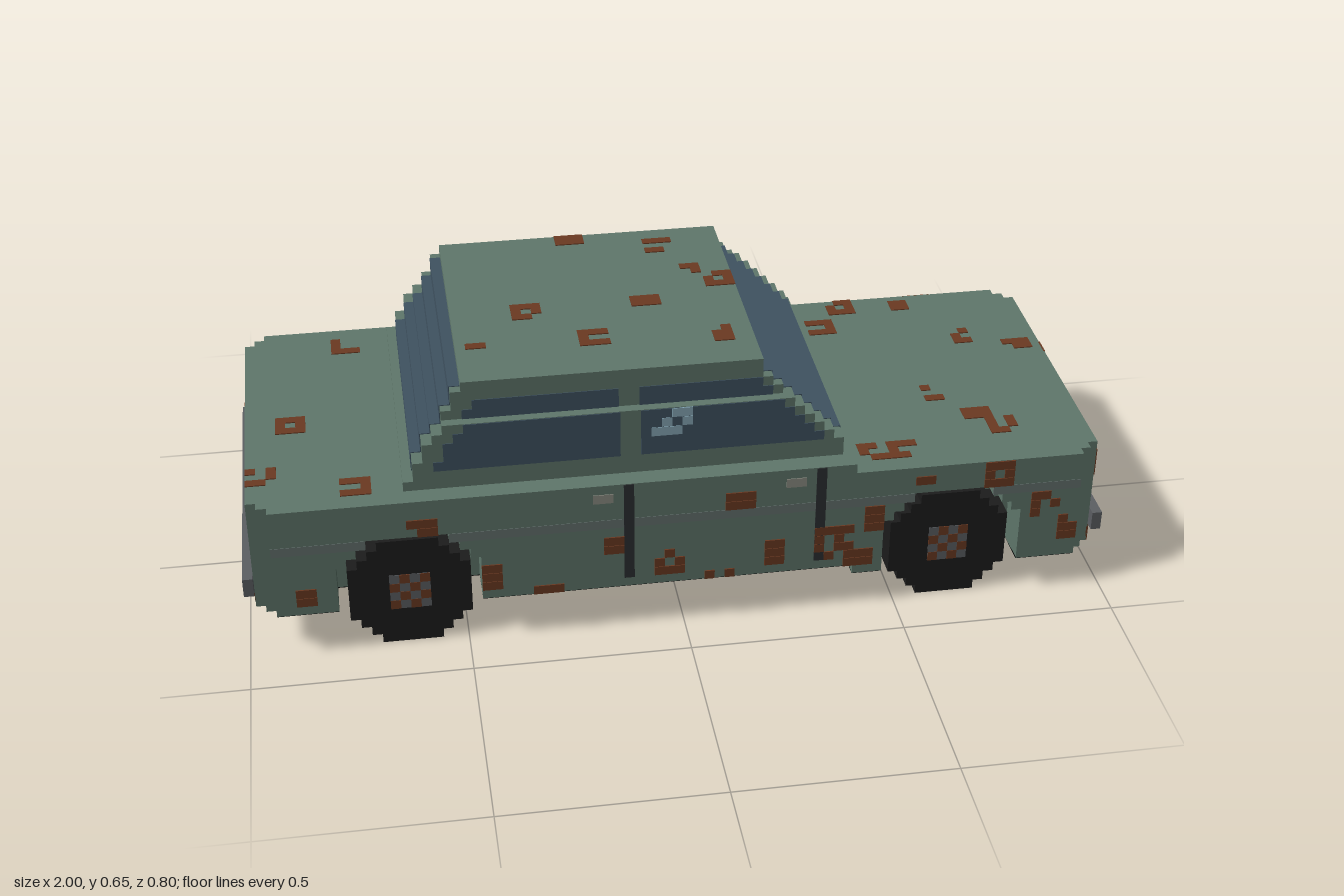
import * as THREE from 'three';
import { mergeGeometries } from 'three/addons/utils/BufferGeometryUtils.js';

const U = 2 / 86; // one block

const COLORS = {
  paint: 0x5f776b, glass: 0x3f5361, rust: 0x6b3a22, tyre: 0x1c1c1c, chrome: 0x5c5f63,
  dark: 0x2b2f31, trim: 0x64716e, lamp: 0x8c8d83, red: 0x7a2019, under: 0x0c0f0e, crack: 0x86a8b6,
};
const materials = {};
for (const key in COLORS) materials[key] = new THREE.MeshStandardMaterial({ color: COLORS[key] });

// Box between two corners, in blocks
function box(x0, x1, y0, y1, z0, z1) {
  return new THREE.BoxGeometry(x1 - x0, y1 - y0, z1 - z0)
    .translate((x0 + x1) / 2, (y0 + y1) / 2, (z0 + z1) / 2);
}

// The same box on both sides of the car
const pair = (x0, x1, y0, y1, z0, z1) => [box(x0, x1, y0, y1, z0, z1), box(x0, x1, y0, y1, -z1, -z0)];

// Side outline of the lower body, with optional stepped wheel arches
function bodyShape(end, arches) {
  const pts = [[-end, 5]];
  const arch = (c, base) => {
    const half = [[7, base], [7, 10], [6, 10], [6, 11], [5, 11], [5, 12], [4, 12], [4, 13]];
    half.forEach(([w, y]) => pts.push([c - w, y]));
    half.reverse().forEach(([w, y]) => pts.push([c + w, y]));
  };
  if (arches) arch(-27, 5);
  pts.push([17, 5], [17, 4]);
  if (arches) arch(27, 4);
  pts.push([end, 4], [end, 16], [17, 16], [17, 17], [-end, 17]);
  return new THREE.Shape(pts.map(([x, y]) => new THREE.Vector2(x, y)));
}

function slab(end, arches, z0, z1) {
  return new THREE.ExtrudeGeometry(bodyShape(end, arches), { depth: z1 - z0, bevelEnabled: false })
    .translate(0, 0, z0);
}

export function createModel() {
  const car = new THREE.Group();
  car.name = 'oldCar';

  function add(name, color, geometries) {
    const flat = geometries.map((g) => (g.index ? g.toNonIndexed() : g));
    const mesh = new THREE.Mesh(mergeGeometries(flat), materials[color]);
    mesh.name = name;
    mesh.scale.setScalar(U);
    car.add(mesh);
  }

  // Lower body: full core, then outer layers with arches and stepped corners
  const body = [slab(42, false, -13, 13)];
  for (const [end, z0, z1] of [[42, 13, 15], [41, 15, 16], [40, 16, 17]]) {
    body.push(slab(end, true, z0, z1), slab(end, true, -z1, -z0));
  }
  add('body', 'paint', body);

  // Dark floor
  const floor = [box(-42, 17, 4.92, 5.1, -13, 13), box(17, 42, 3.92, 4.1, -13, 13)];
  for (const [x0, x1, y] of [[-40, -34, 5], [-20, 17, 5], [17, 20, 4], [34, 40, 4]]) {
    floor.push(...pair(x0, x1, y - 0.08, y + 0.1, 13, 16.95));
  }
  add('floor', 'under', floor);

  // Cabin in stepped rows, with the glass standing just proud of it
  const cabin = [], screens = [], windows = [];
  for (let r = 17; r < 28; r++) {
    const front = Math.min(16, 8 + Math.max(0, 26 - r));
    const back = 21 + Math.round((27 - r) * 0.6);
    const w = r < 24 ? 15 : 14;
    cabin.push(box(-back, front, r, r + 1, -w, w));
    if (r > 17 && r < 27) screens.push(box(-back - 0.08, front + 0.08, r, r + 1.08, -13, 13));
    if (r > 18 && r < 26) {
      const top = r === 23 ? r + 0.95 : r + 1;
      windows.push(...pair(2 - back, -6, r, top, w - 0.2, w + 0.08));
      windows.push(...pair(-4, front - 1, r, top, w - 0.2, w + 0.08));
    }
  }
  add('cabin', 'paint', cabin);
  add('windscreens', 'glass', screens);
  add('sideWindows', 'glass', windows);

  // Cracks in the door glass
  const cracks = [[-3, 21], [-2, 22], [-1, 21], [0, 22], [-1, 23], [0, 23], [-2, 21]];
  add('glassCracks', 'crack', cracks.map(([x, y]) => box(x, x + 1, y, y + 0.95, 14.9, 15.14)));

  // Side trim, door gaps and handles
  add('sideTrim', 'trim', [[-40, -31], [-23, 23], [31, 40]]
    .flatMap(([a, b]) => pair(a, b, 12, 13, 16.9, 17.05)));
  add('doorGaps', 'dark', [-6, 13].flatMap((x) => pair(x, x + 1, 6, 16.95, 16.9, 17.1)));
  add('doorHandles', 'lamp', [-9, 10].flatMap((x) => pair(x, x + 2, 15, 16, 16.9, 17.08)));

  // Front: grille bars, one working lamp and one empty socket
  const onFront = (z0, z1, y0, y1) => box(41.9, 42.08, y0, y1, z0, z1);
  add('grilleBars', 'chrome', [onFront(-7, 7, 12, 13), onFront(-7, 7, 10, 11)]);
  add('grilleGaps', 'dark', [onFront(-7, 7, 11, 12), onFront(-7, 7, 9, 10)]);
  add('headlight', 'lamp', [onFront(10, 13, 11, 14)]);
  add('emptyHeadlight', 'tyre', [onFront(-13, -10, 11, 14)]);

  // Rear lamps and plate
  add('tailLights', 'red', pair(-42.08, -41.9, 11, 14, 10, 13));
  add('rearPlate', 'lamp', [box(-42.08, -41.9, 10, 12, -3, 3)]);
  add('bumpers', 'chrome', [box(42, 43, 6, 8, -16, 16), box(-43, -42, 7, 9, -16, 16)]);

  // Wheels: stacked rows make a blocky disc, with a rusty hub
  const rows = [3, 4, 5, 6, 6, 6, 6, 6, 6, 5, 4, 3];
  const tyres = [], hubs = [], hubRust = [];
  for (const c of [-27, 27]) {
    rows.forEach((w, y) => tyres.push(...pair(c - w, c + w, y, y + 1, 13, 16)));
    hubs.push(...pair(c - 2, c + 2, 4, 8, 15.9, 16.06));
    for (let i = 0; i < 16; i++) {
      const x = c - 2 + (i % 4), y = 4 + Math.floor(i / 4);
      if ((x + y) % 2) hubRust.push(...pair(x, x + 1, y, y + 1, 15.9, 16.1));
    }
  }
  add('tyres', 'tyre', tyres);
  add('hubs', 'chrome', hubs);
  add('hubRust', 'rust', hubRust);

  // Rust: ragged patches of thin blocks
  let seed = 7;
  const random = () => (seed = (seed * 16807) % 2147483647) / 2147483647;
  const rust = [];
  function patch(a, b, w, h, place) {
    for (let i = 0; i < w; i++) {
      for (let j = 0; j < h; j++) {
        const hollow = w > 2 && h > 2 && i === 1 && j === 1;
        if (!hollow && random() > 0.2) rust.push(...place(a + i, b + j));
      }
    }
  }
  const inArch = (x, y) => Math.abs(Math.abs(x + 0.5) - 27) < 7 && y < 13;
  const onSide = (x, y) => (inArch(x, y) ? [] : pair(x, x + 1, y, y + 0.95, 16.9, 17.14));
  const onTop = (y) => (x, z) => [box(x, x + 1, y - 0.1, y + 0.1, z, z + 1)];
  const onNose = (z, y) => [box(41.9, 42.1, y, y + 1, z, z + 1)];
  const onTail = (z, y) => [box(-42.1, -41.9, y, y + 1, z, z + 1)];

  for (const [x, y, w, h] of [[-27, 13, 3, 2], [-20, 6, 2, 3], [-15, 5, 3, 1], [-3, 6, 3, 3],
    [-8, 9, 2, 2], [4, 13, 3, 2], [2, 5, 3, 1], [8, 6, 2, 3], [13, 6, 4, 4], [16, 5, 3, 2],
    [18, 9, 2, 3], [23, 14, 2, 1], [30, 13, 3, 3], [35, 9, 3, 3], [38, 5, 2, 4], [-38, 6, 2, 2]]) {
    patch(x, y, w, h, onSide);
  }
  for (const [x, z, w, h] of [[-33, -15, 3, 3], [-39, 0, 3, 3], [-42, 9, 3, 3], [-33, 12, 3, 3]]) {
    patch(x, z, w, h, onTop(17));
  }
  for (const [x, z, w, h] of [[0, -12, 3, 3], [3, -6, 2, 2], [5, -4, 3, 3], [-3, 0, 3, 2],
    [-15, 0, 3, 3], [-9, 6, 3, 3], [4, 7, 2, 3], [-20, 6, 2, 2], [-9, -14, 3, 2]]) {
    patch(x, z, w, h, onTop(28));
  }
  for (const [x, z, w, h] of [[21, -17, 3, 3], [18, -13, 3, 3], [33, -9, 3, 3], [26, 2, 3, 3],
    [30, 7, 3, 2], [32, 9, 3, 3], [18, 12, 6, 3], [38, -6, 3, 2], [28, -16, 2, 2]]) {
    patch(x, z, w, h, onTop(16));
  }
  for (const [z, y, w, h] of [[13, 12, 2, 3], [-5, 15, 2, 1], [1, 8, 3, 1], [-6, 8, 3, 1],
    [9, 8, 4, 1], [-11, 8, 2, 1], [9, 4, 6, 2], [-15, 12, 1, 3]]) {
    patch(z, y, w, h, onNose);
  }
  for (const [z, y, w, h] of [[-14, 5, 4, 2], [5, 13, 3, 2], [11, 5, 3, 2], [-6, 14, 2, 2], [-2, 5, 3, 1]]) {
    patch(z, y, w, h, onTail);
  }
  add('rustPatches', 'rust', rust);

  return car;
}
